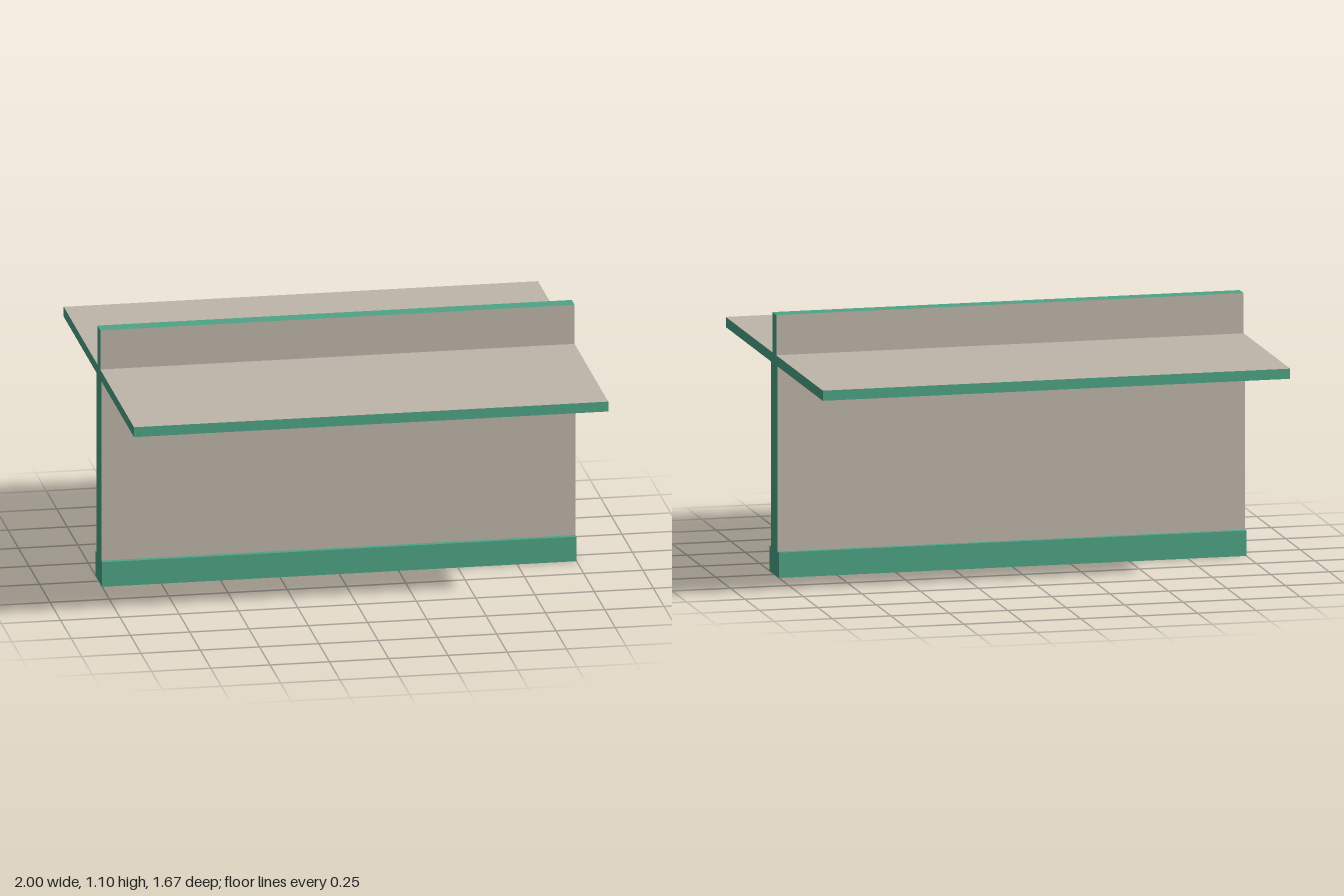
import * as THREE from 'three';

export function createModel() {
  const model = new THREE.Group();
  const beige = new THREE.MeshStandardMaterial({ name: 'beige', color: 0xbfb6aa, side: THREE.DoubleSide });
  const green = new THREE.MeshStandardMaterial({ name: 'green', color: 0x4fa587, side: THREE.DoubleSide });
  const length = 2;

  // Front half of the cross-section, as z and y, from the foot to the top
  const half = [
    [0.08, 0], [0.08, 0.107], [0.057, 0.107], [0.057, 0.89],
    [0.834, 0.89], [0.834, 0.933], [0.034, 0.933], [0.034, 1.103],
  ];
  const profile = [...half, ...half.map(([z, y]) => [-z, y]).reverse()];

  // Name and colour of each face along the front half, then the top face
  const faces = [
    ['footSide', green], ['footLedge', green], ['webSide', beige], ['shelfUnderside', beige],
    ['shelfEdge', green], ['shelfTop', beige], ['ribSide', beige], ['ribTop', green],
  ];

  // Long faces run along x; the foot stays open underneath
  for (let i = 0; i < profile.length - 1; i++) {
    const [z0, y0] = profile[i];
    const [z1, y1] = profile[i + 1];
    const [name, material] = faces[i < 8 ? i : 14 - i];
    const face = new THREE.Mesh(new THREE.PlaneGeometry(length, Math.hypot(z1 - z0, y1 - y0)), material);
    face.name = i === 7 ? name : (i < 7 ? 'front_' : 'back_') + name;
    face.position.set(0, (y0 + y1) / 2, (z0 + z1) / 2);
    face.rotation.x = Math.atan2(z1 - z0, y1 - y0);
    model.add(face);
  }

  // End caps in the full cross-section
  const outline = new THREE.Shape(profile.map(([z, y]) => new THREE.Vector2(z, y)));
  const capGeometry = new THREE.ShapeGeometry(outline);
  for (const side of [1, -1]) {
    const cap = new THREE.Mesh(capGeometry, green);
    cap.name = side > 0 ? 'leftEndCap' : 'rightEndCap';
    cap.position.x = side * length / 2;
    cap.rotation.y = side * Math.PI / 2;
    model.add(cap);
  }
  return model;
}
